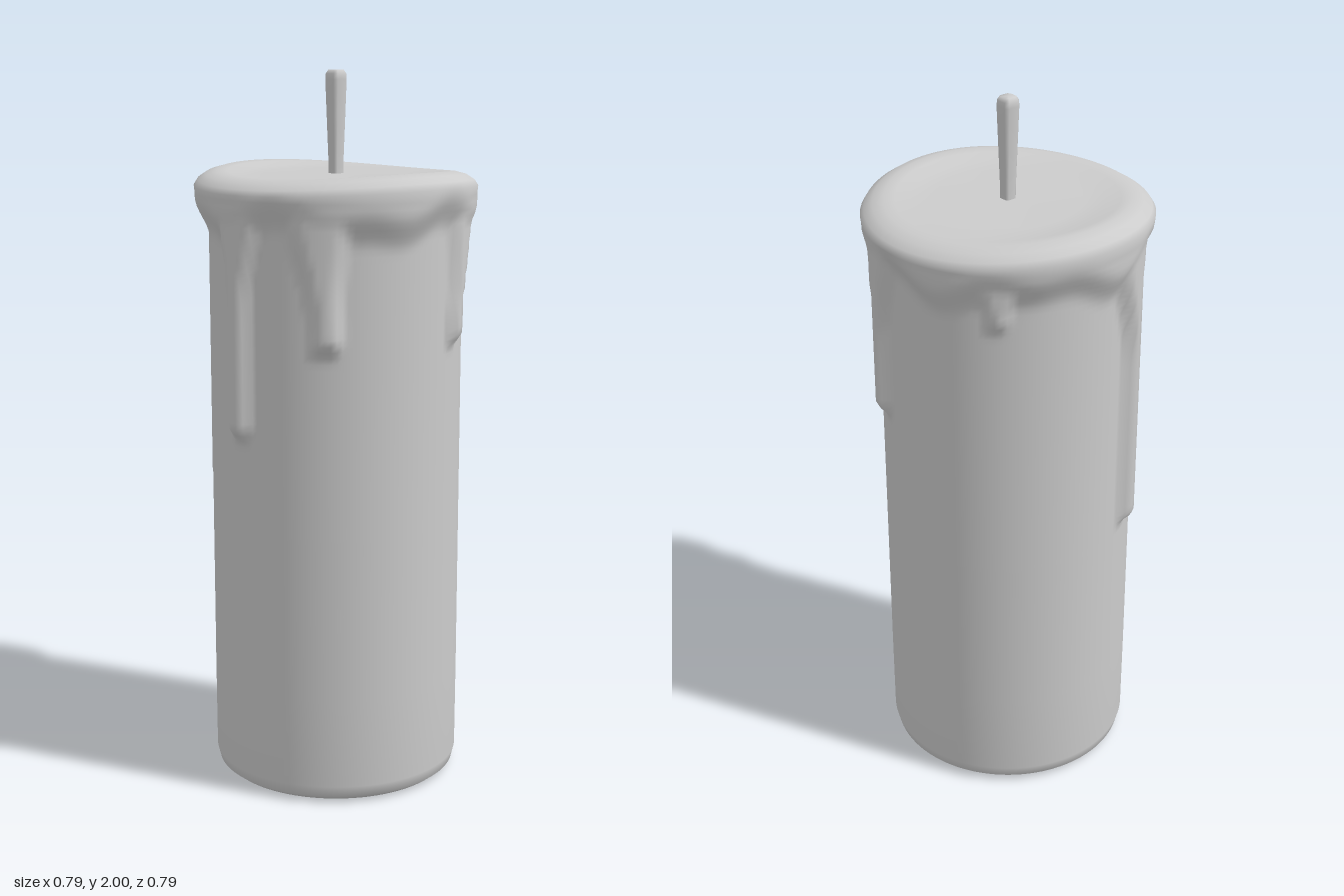
import * as THREE from 'three';

const material = new THREE.MeshStandardMaterial({ color: 0xcccccc });
const DEG = Math.PI / 180;
const smooth = THREE.MathUtils.smoothstep;

// Closed skin from stacked rings; each ring is a function angle -> [radius, height].
// Angle 0 faces +z and 90 degrees faces +x.
function loft(name, rings, cols, offset = 0) {
  const pos = [], idx = [];
  for (const ring of rings)
    for (let i = 0; i < cols; i++) {
      const a = offset + (i / cols) * Math.PI * 2;
      const [r, y] = ring(a);
      pos.push(r * Math.sin(a), y, r * Math.cos(a));
    }
  for (let j = 0; j < rings.length - 1; j++)
    for (let i = 0; i < cols; i++) {
      const k = (i + 1) % cols, p = j * cols, q = p + cols;
      idx.push(p + i, p + k, q + k, p + i, q + k, q + i);
    }
  const geo = new THREE.BufferGeometry();
  geo.setAttribute('position', new THREE.Float32BufferAttribute(pos, 3));
  geo.setIndex(idx);
  geo.computeVertexNormals();
  const mesh = new THREE.Mesh(geo, material);
  mesh.name = name;
  return mesh;
}

// Wax runs: angle, lowest height, half width, thickness, sideways lean at the top
const drips = [
  { angle: 20, end: 1.27, width: 0.03, thick: 0.028, lean: 0.05 },
  { angle: 72, end: 1.14, width: 0.03, thick: 0.033, lean: 0 },
  { angle: 136, end: 1.5, width: 0.03, thick: 0.025, lean: 0 },
  { angle: 206, end: 0.8, width: 0.03, thick: 0.034, lean: -0.02 },
  { angle: 271, end: 1.02, width: 0.035, thick: 0.035, lean: 0 },
  { angle: 313, end: 1.27, width: 0.045, thick: 0.034, lean: -0.02 },
];

// Radius of the candle side, with the overhanging cap and the runs
function sideRadius(a, y) {
  const edge = 1.6 + 0.018 * Math.sin(5 * a + 1) + 0.014 * Math.sin(9 * a);
  let bulge = 0.039 * smooth(y, edge - 0.05, edge + 0.06);
  for (const d of drips) {
    const rise = smooth(y, Math.max(d.end, 1.3), 1.65);
    let da = a - d.angle * DEG;
    da = Math.atan2(Math.sin(da), Math.cos(da));
    const dist = Math.abs(da * 0.36 - d.lean * rise);
    const half = d.width + 0.055 * rise * rise;
    const across = 1 - smooth(dist, half * 0.45, half * 1.1);
    bulge = Math.max(bulge, d.thick * across * smooth(y, d.end - 0.015, d.end + 0.035));
  }
  return 0.352 + bulge;
}

export function createModel() {
  const group = new THREE.Group();
  group.name = 'candle';

  // Wax body: rounded foot, side, uneven rim and shallow pool
  const rings = [[0, 0], [0.3, 0], [0.325, 0.004], [0.343, 0.018], [0.351, 0.05]]
    .map(([r, y]) => () => [r, y]);
  const addSide = (y) => rings.push((a) => [sideRadius(a, y), y]);
  [0.3, 0.55, 0.7].forEach(addSide);
  for (let i = 0; i <= 52; i++) addSide(0.75 + (i / 52) * 0.92);
  const wave = (a) => 0.01 * Math.cos(2 * a) - 0.003 * Math.sin(a);
  for (const [r, y, w] of [[0.393, 1.69, 0.8], [0.383, 1.706, 1], [0.36, 1.721, 1],
    [0.33, 1.729, 1], [0.3, 1.728, 0.8], [0.26, 1.722, 0.3], [0.2, 1.72, 0], [0, 1.72, 0]])
    rings.push((a) => [r, y + w * wave(a)]);
  group.add(loft('waxBody', rings, 144));

  // Wick: square with cut corners, thicker towards the top
  const wickRings = [[0.017, 1.69], [0.018, 1.76], [0.022, 1.88], [0.025, 1.975],
    [0.024, 1.99], [0.018, 2], [0, 2]].map(([h, y]) => (a) => {
    const c = Math.max(Math.abs(Math.sin(a)), Math.abs(Math.cos(a)));
    return [h / c, y];
  });
  // Eight columns near the corners keep the flats flat
  const wick = loft('wick', wickRings, 8, 22.5 * DEG);
  const p = wick.geometry.attributes.position;
  for (let i = 0; i < p.count; i++) {
    // slide the cut corners outward along the flats
    const x = p.getX(i), z = p.getZ(i);
    if (Math.abs(x) < Math.abs(z)) p.setX(i, x * 1.55);
    else p.setZ(i, z * 1.55);
  }
  wick.geometry.computeVertexNormals();
  group.add(wick);

  return group;
}
